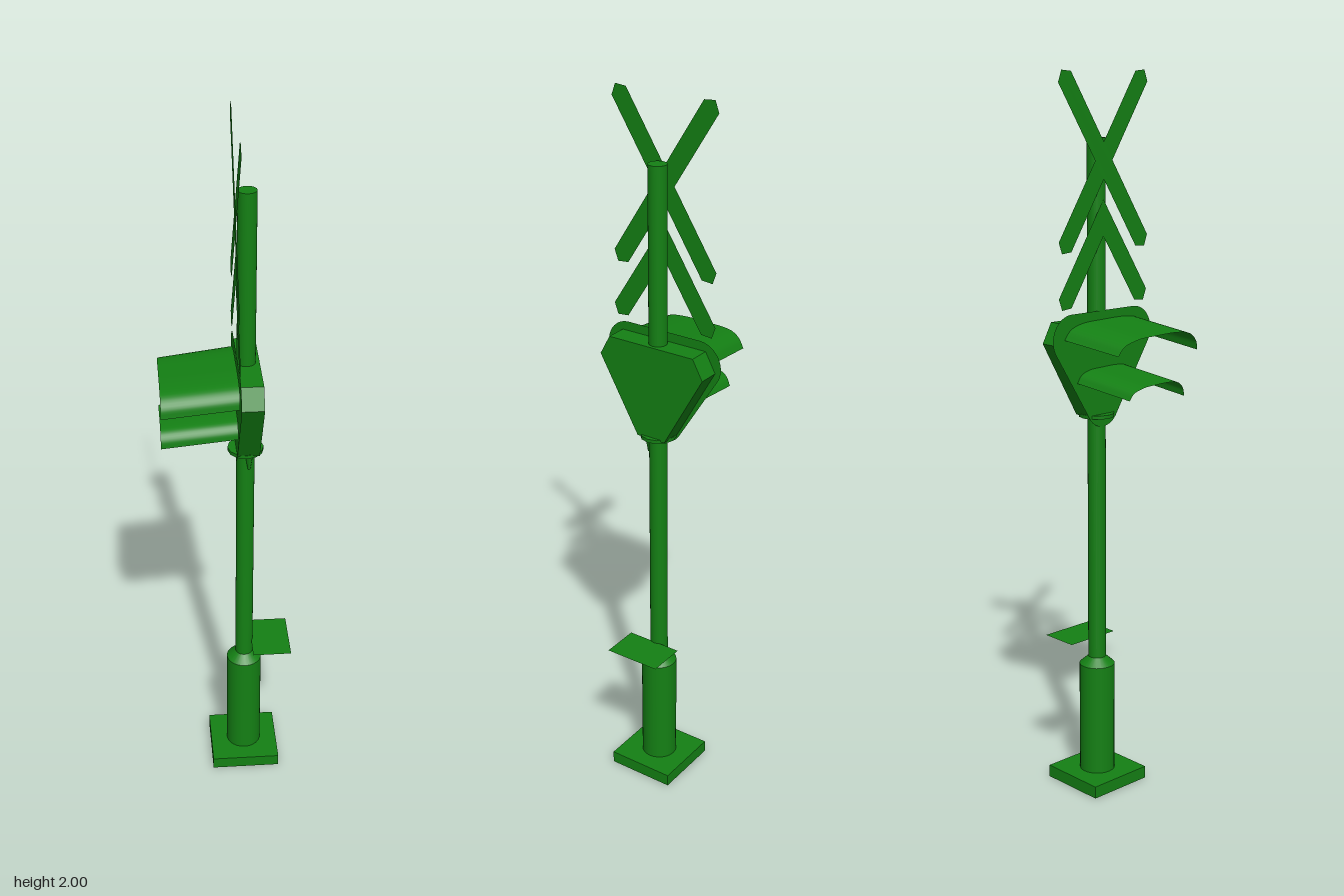
import * as THREE from 'three';

const green = new THREE.MeshStandardMaterial({ color: 0x148014, side: THREE.DoubleSide });
const POLE_X = 0.05;

export function createModel() {
  const model = new THREE.Group();
  const add = (name, geometry, x = 0, y = 0, z = 0) => {
    const mesh = new THREE.Mesh(geometry, green);
    mesh.name = name;
    mesh.position.set(x, y, z);
    model.add(mesh);
    return mesh;
  };
  const outline = (points) => new THREE.Shape(points.map(([z, y]) => new THREE.Vector2(z, y)));
  // Turns a shape drawn in (z, y) so that it faces along x
  const sheet = (shape) => new THREE.ShapeGeometry(shape).rotateY(-Math.PI / 2);

  // Foot plate, open underneath
  const foot = new THREE.BoxGeometry(0.196, 0.035, 0.196);
  const index = Array.from(foot.index.array);
  index.splice(18, 6); // drop the bottom face
  foot.setIndex(index);
  foot.clearGroups();
  add('footPlate', foot, POLE_X, 0.0175, 0);

  // Thick lower sleeve with its tapered shoulder, and the slim pole
  add('baseSleeve', new THREE.CylinderGeometry(0.05, 0.05, 0.32, 24, 1, true), POLE_X, 0.195, 0);
  add('sleeveShoulder', new THREE.CylinderGeometry(0.025, 0.05, 0.022, 24, 1, true), POLE_X, 0.366, 0);
  add('pole', new THREE.CylinderGeometry(0.025, 0.025, 1.45, 24), POLE_X, 1.1, 0);

  // Thin horizontal shelf above the sleeve
  add('shelf', new THREE.PlaneGeometry(0.11, 0.163).rotateX(-Math.PI / 2), 0.125, 0.422, 0.003);

  // Lamp housing: a blunt triangle with chamfered upper corners
  const housing = outline([
    [-0.043, 1.08], [0.043, 1.08], [0.162, 1.29], [0.132, 1.345], [-0.132, 1.345], [-0.162, 1.29],
  ]);
  add('lampHousing', new THREE.ExtrudeGeometry(housing, { depth: 0.06, bevelEnabled: false })
    .rotateY(-Math.PI / 2), 0.085, 0, 0);

  // Backing plate: hull of three circles, drawn as three arcs
  const plate = new THREE.Shape();
  const lean = 0.55;
  plate.absarc(0, 1.108, 0.058, -Math.PI + lean, -lean);
  plate.absarc(0.112, 1.303, 0.067, -lean, Math.PI / 2);
  plate.absarc(-0.112, 1.303, 0.067, Math.PI / 2, Math.PI + lean);
  plate.closePath();
  add('backingPlate', sheet(plate), 0.024, 0, 0);

  // Clamp under the housing
  add('clampCollar', new THREE.CylinderGeometry(0.049, 0.049, 0.01, 12), POLE_X, 1.08, 0);
  add('clampLug', new THREE.CylinderGeometry(0.012, 0.004, 0.05, 8), 0.058, 1.052, 0.024);

  // Curved visor sheets reaching towards -x and sloping down
  const profile = new THREE.CatmullRomCurve3([
    [0.153, -0.055], [0.148, -0.03], [0.125, -0.008], [0.08, 0],
    [0, 0], [-0.08, -0.004], [-0.12, -0.018], [-0.14, -0.042],
  ].map(([z, y]) => new THREE.Vector3(0, y, z)));
  const visor = (name, top, width, height) => {
    const steps = 28;
    const geometry = new THREE.PlaneGeometry(1, 1, 1, steps);
    const pos = geometry.attributes.position;
    for (let i = 0; i <= steps; i++) {
      const p = profile.getPoint(i / steps);
      const back = p.z < 0 ? 0.9 : 1; // far side narrows towards the lip
      const lip = p.z < -0.09 ? (p.z + 0.09) * -0.25 : 0;
      pos.setXYZ(i * 2, -0.181 + lip, top - 0.02 + p.y * height, p.z * width * back);
      pos.setXYZ(i * 2 + 1, 0.022, top + p.y * height, p.z * width);
    }
    geometry.computeVertexNormals();
    add(name, geometry);
  };
  visor('upperVisor', 1.346, 1, 1);
  visor('lowerVisor', 1.216, 0.68, 0.8);

  // Flat sign arms with pointed ends, leaning by a common direction
  const d = new THREE.Vector2(0.148, 0.233).normalize();
  const half = 0.026;
  const tipZ = 0.148;
  const reach = Math.hypot(tipZ, 0.233);
  const along = (t, s, side, y) => [side * (d.x * t + d.y * s), y + d.y * t - d.x * s];
  for (const side of [1, -1]) {
    const shoulder = reach - 0.02;
    const crossArm = [
      [reach, 0], [shoulder, half], [-shoulder, half],
      [-reach, 0], [-shoulder, -half], [shoulder, -half],
    ].map(([t, s]) => along(t, s, side, 1.765));
    add('crossArm', sheet(outline(crossArm)), 0.02 + side * 0.001, 0, 0);

    // Lower half arm, mitred on the centre line
    const mitre = half * d.y / d.x;
    const lowerArm = [
      [-reach, 0], [-shoulder, half], [-mitre, half], [mitre, -half], [-shoulder, -half],
    ].map(([t, s]) => along(t, s, side, 1.617));
    add('lowerSignArm', sheet(outline(lowerArm)), 0.022, 0, 0);
  }
  return model;
}
